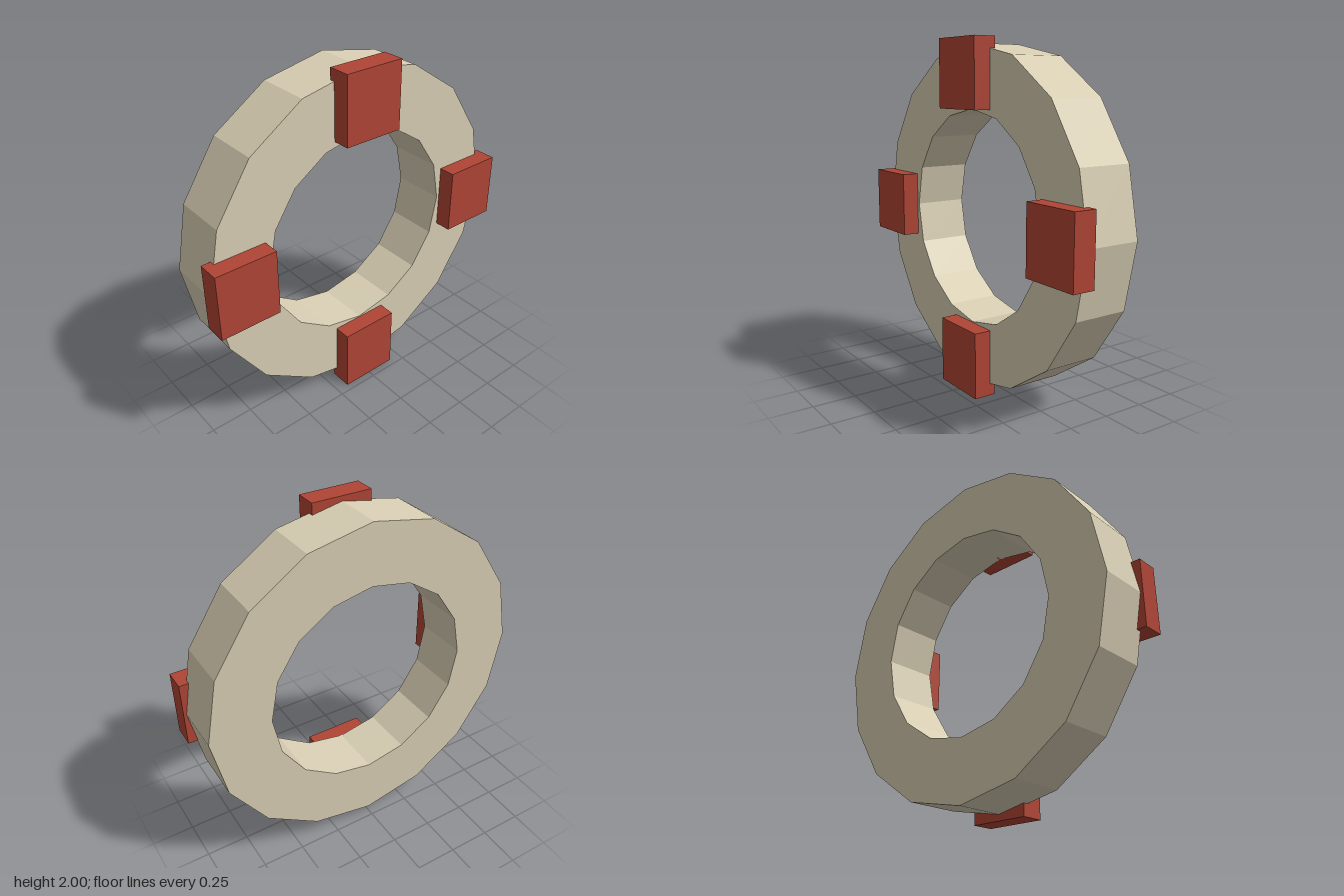
import * as THREE from 'three';

const SIDES = 16, CENTER_Y = 1.0;

// Regular polygon points with a corner on the +x axis
function polygon(radius) {
  return Array.from({ length: SIDES }, (_, i) => {
    const a = (i / SIDES) * Math.PI * 2;
    return new THREE.Vector2(Math.cos(a) * radius, Math.sin(a) * radius);
  });
}

export function createModel() {
  const model = new THREE.Group();
  model.name = 'lifebuoy';

  const cream = new THREE.MeshStandardMaterial({ color: 0xd9cfb4, flatShading: true });
  const red = new THREE.MeshStandardMaterial({ color: 0xb04535, flatShading: true });

  // Faceted ring with a flat front and back
  const outline = new THREE.Shape(polygon(0.968));
  outline.holes.push(new THREE.Path(polygon(0.613)));
  const ring = new THREE.Mesh(
    new THREE.ExtrudeGeometry(outline, { depth: 0.32, bevelEnabled: false }), cream);
  ring.name = 'ring';
  ring.position.set(0, CENTER_Y + 0.003, -0.21);
  model.add(ring);

  // Four upright blocks set slightly into the front face
  const blockGeometry = new THREE.BoxGeometry(0.354, 0.385, 0.13);
  const blocks = [
    ['topBlock', 0, 1], ['bottomBlock', 0, -1],
    ['leftBlock', 1, 0], ['rightBlock', -1, 0],
  ];
  for (const [name, dx, dy] of blocks) {
    const block = new THREE.Mesh(blockGeometry, red);
    block.name = name;
    block.position.set(dx * 0.807, CENTER_Y + dy * 0.8075, 0.145);
    model.add(block);
  }

  return model;
}
